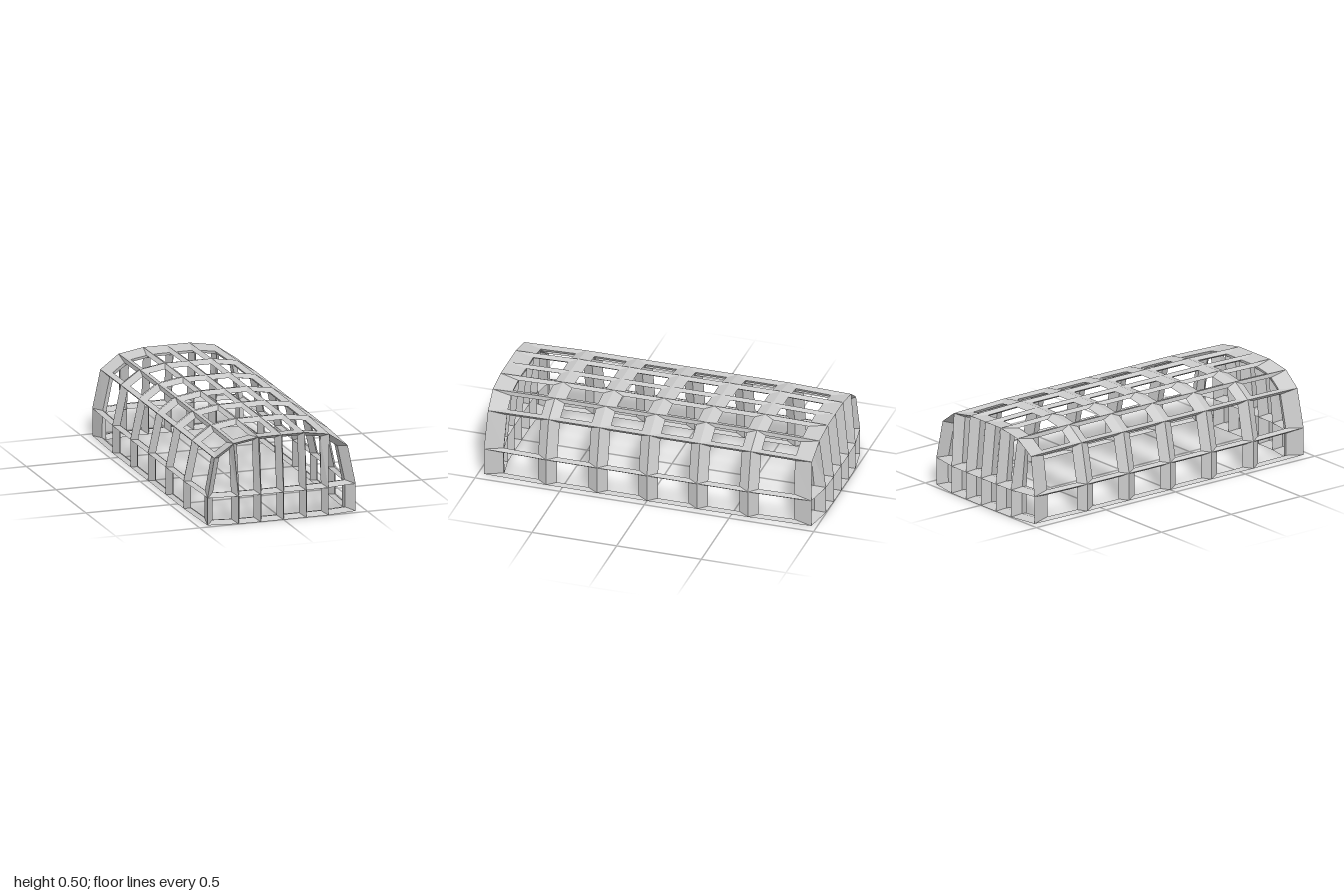
import * as THREE from 'three';

// Half thickness of the struts along each axis
const R = new THREE.Vector3(0.0235, 0.0145, 0.057);

// Point of the shell lattice: i = column (-3..3), j = row (0..2), k = ring (-3..3)
function latticePoint(i, j, k) {
  const a = Math.abs(i), c = Math.abs(k), end = c === 3;
  let x, y, z = [0, 0.296, 0.597, 1][c];
  if (j < 2) {
    x = [0, 0.135, 0.267, 0.453][a];
    y = 0.16 * j;
    if (end) z = [1, 1, 0.997, 0.967][a];
    if (end && a === 3) x = 0.441;
  } else {
    x = [0, 0.14, 0.29, 0.403][a];
    y = [0.495, 0.495, 0.471, 0.393][a];
    if (end) {
      x *= 0.985;
      y -= 0.008;
      z = [0.967, 0.967, 0.965, 0.957][a];
    }
  }
  return new THREE.Vector3(Math.sign(i) * x, y, Math.sign(k) * z);
}

export function createModel() {
  const nodes = new Map();
  const node = (i, j, k) => {
    const key = [i, j, k].join();
    if (!nodes.has(key)) {
      // positions are kept in units of the strut half thickness
      nodes.set(key, { outer: latticePoint(i, j, k).divide(R), normal: new THREE.Vector3(), faces: [], bottom: j === 0 });
    }
    return nodes.get(key);
  };

  // Quads of each side of the shell, counter-clockwise from outside
  const panels = { frontLattice: [], backLattice: [], leftLattice: [], rightLattice: [], roofLattice: [] };
  for (let a = -3; a < 3; a++) {
    for (let j = 0; j < 2; j++) {
      const wall = (f) => [f(a, j), f(a + 1, j), f(a + 1, j + 1), f(a, j + 1)];
      panels.frontLattice.push(wall((u, v) => node(u, v, 3)));
      panels.backLattice.push(wall((u, v) => node(-u, v, -3)));
      panels.leftLattice.push(wall((u, v) => node(3, v, -u)));
      panels.rightLattice.push(wall((u, v) => node(-3, v, u)));
    }
    for (let k = -3; k < 3; k++) {
      panels.roofLattice.push([node(a, 2, k + 1), node(a + 1, 2, k + 1), node(a + 1, 2, k), node(a, 2, k)]);
    }
  }

  // Unit directions from a quad corner to the next and previous corners
  const edgeDirs = (quad, n) => [quad[(n + 1) % 4], quad[(n + 3) % 4]]
    .map((q) => q.outer.clone().sub(quad[n].outer).normalize());

  // Corner normals weighted by angle
  for (const quad of Object.values(panels).flat()) {
    quad.forEach((p, n) => {
      const [d0, d1] = edgeDirs(quad, n);
      const normal = d0.clone().cross(d1).normalize();
      p.faces.push(normal);
      p.normal.addScaledVector(normal, d0.angleTo(d1));
    });
  }

  // Middle and inner points, keeping the thickness even at sharp corners
  for (const p of nodes.values()) {
    p.normal.normalize();
    const dot = p.faces.reduce((s, f) => s + f.dot(p.normal), 0) / p.faces.length;
    p.mid = p.outer.clone().addScaledVector(p.normal, -1 / dot);
    p.inner = p.outer.clone().addScaledVector(p.normal, -2 / dot);
  }

  const material = new THREE.MeshStandardMaterial({ color: 0xcccccc, flatShading: true });
  const model = new THREE.Group();
  model.name = 'latticeShell';

  // Diamond-section struts around every opening
  for (const [name, quads] of Object.entries(panels)) {
    const positions = [];
    const addQuad = (a, b, c, d) => {
      for (const v of [a, b, c, a, c, d]) positions.push(v.x * R.x, v.y * R.y, v.z * R.z);
    };
    for (const quad of quads) {
      const insets = quad.map((p, n) => {
        const [d0, d1] = edgeDirs(quad, n);
        return p.mid.clone().addScaledVector(d0.clone().add(d1), 1 / Math.sin(d0.angleTo(d1)));
      });
      quad.forEach((p, n) => {
        const m = (n + 1) % 4, q = quad[m];
        addQuad(p.outer, q.outer, insets[m], insets[n]);
        addQuad(insets[n], insets[m], q.inner, p.inner);
        // flat underside of the base rail
        if (p.bottom && q.bottom) addQuad(q.outer, p.outer, p.inner, q.inner);
      });
    }
    const geometry = new THREE.BufferGeometry();
    geometry.setAttribute('position', new THREE.Float32BufferAttribute(positions, 3));
    geometry.computeVertexNormals();
    const mesh = new THREE.Mesh(geometry, material);
    mesh.name = name;
    model.add(mesh);
  }
  return model;
}
